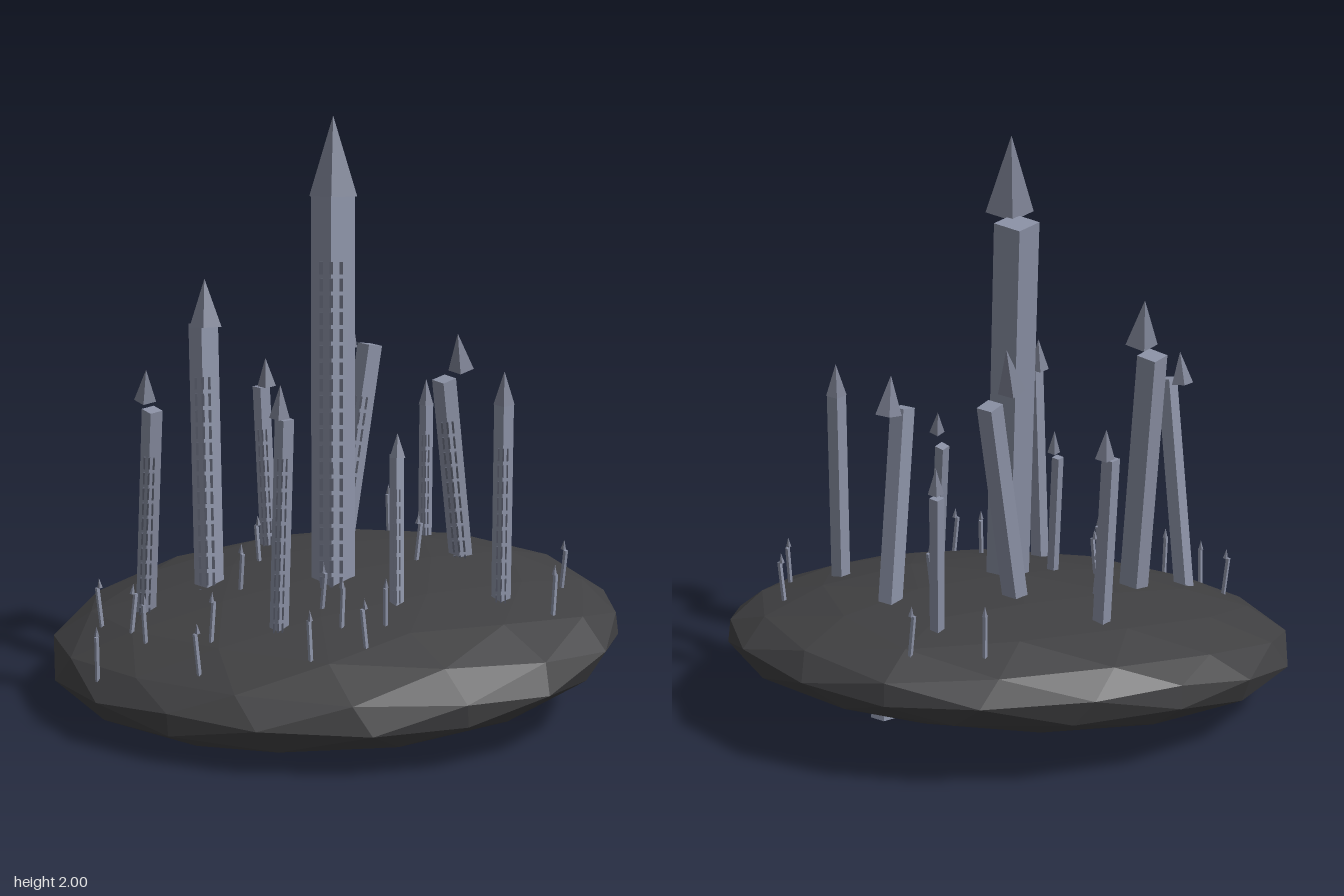
import * as THREE from 'three';

const mat = (name, color) => {
  const m = new THREE.MeshStandardMaterial({ color, flatShading: true });
  m.name = name;
  return m;
};

export function createModel() {
  const model = new THREE.Group();
  model.name = 'floatingCitadel';
  const rock = mat('darkRock', 0x404042);
  const stone = mat('blueGreyStone', 0x8a90a4);
  const roof = mat('roofGrey', 0x7c8193);
  const slit = mat('windowGrey', 0x565a68);

  const add = (parent, name, geometry, material, x = 0, y = 0, z = 0) => {
    const mesh = new THREE.Mesh(geometry, material);
    mesh.name = name;
    mesh.position.set(x, y, z);
    parent.add(mesh);
    return mesh;
  };

  // Faceted, flattened and tilted rock, with a face turned upward
  const up = new THREE.Vector3(1, 1, 1).normalize();
  const side = new THREE.Vector3((1 + Math.sqrt(5)) / 2, 0, -1);
  side.addScaledVector(up, -side.dot(up)).normalize();
  const basis = new THREE.Matrix4().makeBasis(side, up, side.clone().cross(up)).transpose();
  const rockGeometry = new THREE.IcosahedronGeometry(1, 2);
  rockGeometry.applyMatrix4(basis).scale(0.97, 0.225, 0.74);
  const island = add(model, 'rockIsland', rockGeometry, rock, 0, 0.246, 0);
  island.rotation.set(0.126, 0, 0.07);

  // Leaning four-sided tower; its roof stays straight above the centre
  function tower(x, z, top, bottom, r, tipHeight, rx, rz) {
    const g = new THREE.Group();
    g.name = 'tower';
    const h = top - bottom, mid = (top + bottom) / 2;
    const body = add(g, 'towerShaft', new THREE.CylinderGeometry(r, r, h, 4), stone, x, mid, z);
    body.rotation.set(rx, 0, rz);
    const tip = add(g, 'towerRoof', new THREE.ConeGeometry(r * 1.07, tipHeight, 4), roof,
      x, top + tipHeight / 2, z);
    tip.rotation.set(rx, 0, rz);

    // Three columns of slit windows along the front edge
    const w = Math.max(0.005, r * 0.16), step = 0.055;
    const windowGeometry = new THREE.BoxGeometry(w, step * 0.75, 0.009);
    for (let y = -h * 0.28; y < h * 0.36; y += step)
      for (const c of [-1, 0, 1])
        add(body, 'windowSlit', windowGeometry, slit, c * r * 0.45, y, r);
    model.add(g);
  }

  // x, z, top, bottom, radius, roof height, lean about x, lean about z
  [
    [0, 0, 1.74, 0.02, 0.073, 0.26, -0.11, 0.01],
    [-0.43, -0.05, 1.29, 0.12, 0.05, 0.16, -0.14, 0.03],
    [-0.6, 0.16, 1.08, 0.15, 0.034, 0.11, 0.17, -0.07],
    [-0.262, -0.36, 1.02, 0.17, 0.03, 0.1, 0, 0.04],
    [-0.14, 0.355, 1.08, 0.12, 0.031, 0.11, 0.01, -0.03],
    [-0.16, 0.1, 0.87, 0.13, 0.02, 0.08, -0.1, 0.02],
    [0.03, -0.21, 1.2, 0.1, 0.042, 0.155, -0.145, -0.13],
    [0.225, 0.2, 0.92, 0.18, 0.024, 0.08, -0.25, 0.02],
    [0.288, -0.425, 0.95, 0.15, 0.024, 0.09, -0.07, 0],
    [0.41, -0.165, 1.13, 0.08, 0.04, 0.13, 0.17, 0.09],
    [0.566, 0.147, 1.09, 0.11, 0.032, 0.11, 0, 0],
  ].forEach((t) => tower(...t));

  // Small spires scattered on the rock
  const spires = [
    [-0.77, 0.14], [-0.735, 0.41], [-0.64, 0.25], [-0.59, 0.33], [-0.39, 0.53], [-0.36, 0.39],
    [-0.3, 0.09], [-0.27, -0.15], [-0.03, 0.53], [-0.01, 0.27], [0.06, 0.37], [0.14, 0.48],
    [0.2, 0.37], [0.28, -0.1], [0.15, -0.57], [0.38, -0.54], [0.74, 0.19], [0.77, -0.01],
  ];
  const postGeometry = new THREE.CylinderGeometry(0.008, 0.008, 0.16, 4);
  const capGeometry = new THREE.ConeGeometry(0.009, 0.035, 4);
  spires.forEach(([x, z], i) => {
    const ground = 0.245 + 0.067 * x - 0.115 * z
      + 0.22 * Math.sqrt(Math.max(0, 1 - (x / 0.97) ** 2 - (z / 0.74) ** 2));
    const g = new THREE.Group();
    g.name = 'smallSpire';
    g.position.set(x, ground + 0.05, z);
    const post = add(g, 'spirePost', postGeometry, stone);
    const cap = add(g, 'spireCap', capGeometry, roof, 0, 0.0975, 0);
    for (const m of [post, cap])
      m.rotation.set(0.12 * Math.sin(i * 2.3), 0, 0.1 * Math.cos(i * 1.7));
    model.add(g);
  });

  return model;
}
